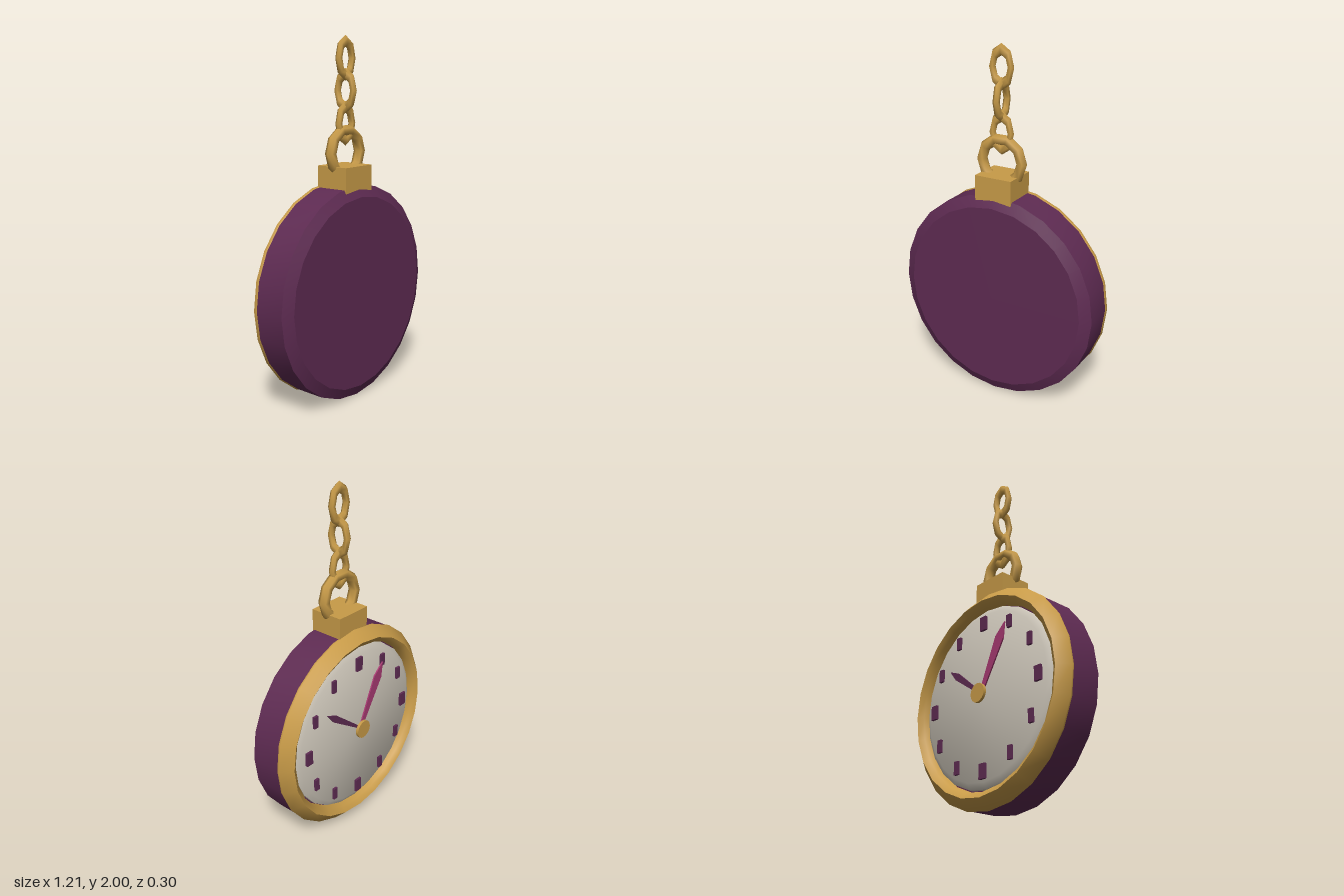
import * as THREE from 'three';
import { toCreasedNormals } from 'three/addons/utils/BufferGeometryUtils.js';

const CY = 0.605; // height of the watch centre
const CHAIN_Z = 0.035;

const mat = (color) => new THREE.MeshStandardMaterial({ color });

export function createModel() {
  const gold = mat(0xc89b48);
  const purple = mat(0x5e2b52);
  const pink = mat(0xa83a72);
  const ivory = mat(0xcfc8bb);
  const root = new THREE.Group();
  root.name = 'pocketWatch';

  const add = (parent, name, geometry, material, x = 0, y = 0, z = 0) => {
    const mesh = new THREE.Mesh(geometry, material);
    mesh.name = name;
    mesh.position.set(x, y, z);
    parent.add(mesh);
    return mesh;
  };

  // Round part turned about the z axis from [radius, z] points
  const turned = (points, crease, sides = 24) => {
    const profile = points.map(([r, z]) => new THREE.Vector2(r, z));
    const g = new THREE.LatheGeometry(profile, sides).rotateX(Math.PI / 2);
    return toCreasedNormals(g, crease);
  };

  // Case, bezel and dial (the dial faces -z)
  add(root, 'case', turned(
    [[0, -0.06], [0.6, -0.06], [0.6, 0.12], [0.54, 0.15], [0, 0.15]], 0.4), purple, 0, CY);
  add(root, 'bezel', turned(
    [[0.605, -0.07], [0.6, -0.055], [0.505, -0.055], [0.513, -0.105], [0.545, -0.128], [0.605, -0.07]], 1.2),
    gold, 0, CY);
  add(root, 'dial', turned(
    [[0, -0.1], [0.465, -0.1], [0.498, -0.08], [0.5, -0.058]], 0.9), ivory, 0, CY);

  // Hour markers, all upright, larger at the quarters
  const markers = new THREE.Group();
  markers.name = 'hourMarkers';
  root.add(markers);
  for (let i = 0; i < 12; i++) {
    const a = (i * Math.PI) / 6;
    const quarter = i % 3 === 0;
    const g = new THREE.BoxGeometry(quarter ? 0.045 : 0.03, quarter ? 0.08 : 0.072, 0.02);
    add(markers, 'hourMarker', g, purple, -0.41 * Math.sin(a), CY + 0.41 * Math.cos(a), -0.104);
  }

  // Hands: narrow at the hub, widening towards a pointed tip
  const hand = (name, length, halfWidth, angle, material, z) => {
    const s = new THREE.Shape();
    s.moveTo(-halfWidth * 0.35, 0);
    s.lineTo(halfWidth * 0.35, 0);
    s.lineTo(halfWidth, length * 0.78);
    s.lineTo(0, length);
    s.lineTo(-halfWidth, length * 0.78);
    s.closePath();
    const g = new THREE.ExtrudeGeometry(s, { depth: 0.008, bevelEnabled: false });
    add(root, name, g, material, 0, CY, z).rotation.z = angle;
  };
  hand('minuteHand', 0.4, 0.033, THREE.MathUtils.degToRad(28), pink, -0.126);
  hand('hourHand', 0.335, 0.02, THREE.MathUtils.degToRad(-53), purple, -0.117);

  // Hub cap and its pin
  add(root, 'hubCap', new THREE.CylinderGeometry(0.053, 0.053, 0.016, 16).rotateX(Math.PI / 2),
    gold, 0, CY, -0.14);
  add(root, 'hubPin', new THREE.CylinderGeometry(0.012, 0.012, 0.04, 8).rotateX(Math.PI / 2),
    gold, 0, CY, -0.115);

  // Crown block and bow ring
  add(root, 'crown', new THREE.BoxGeometry(0.22, 0.2, 0.197), gold, 0, 1.21, 0.032);
  add(root, 'bowRing', new THREE.TorusGeometry(0.122, 0.031, 6, 10), gold, 0, 1.38, CHAIN_Z);

  // Chain of long links, each turned a quarter from the last
  const chain = new THREE.Group();
  chain.name = 'chain';
  root.add(chain);
  [1.535, 1.71, 1.88].forEach((y, i) => {
    const g = new THREE.TorusGeometry(0.055, 0.019, 6, 8).scale(1, 1.62, 1);
    add(chain, 'chainLink', g, gold, 0, y, CHAIN_Z).rotation.y = i % 2 ? Math.PI / 2 : 0;
  });

  return root;
}
